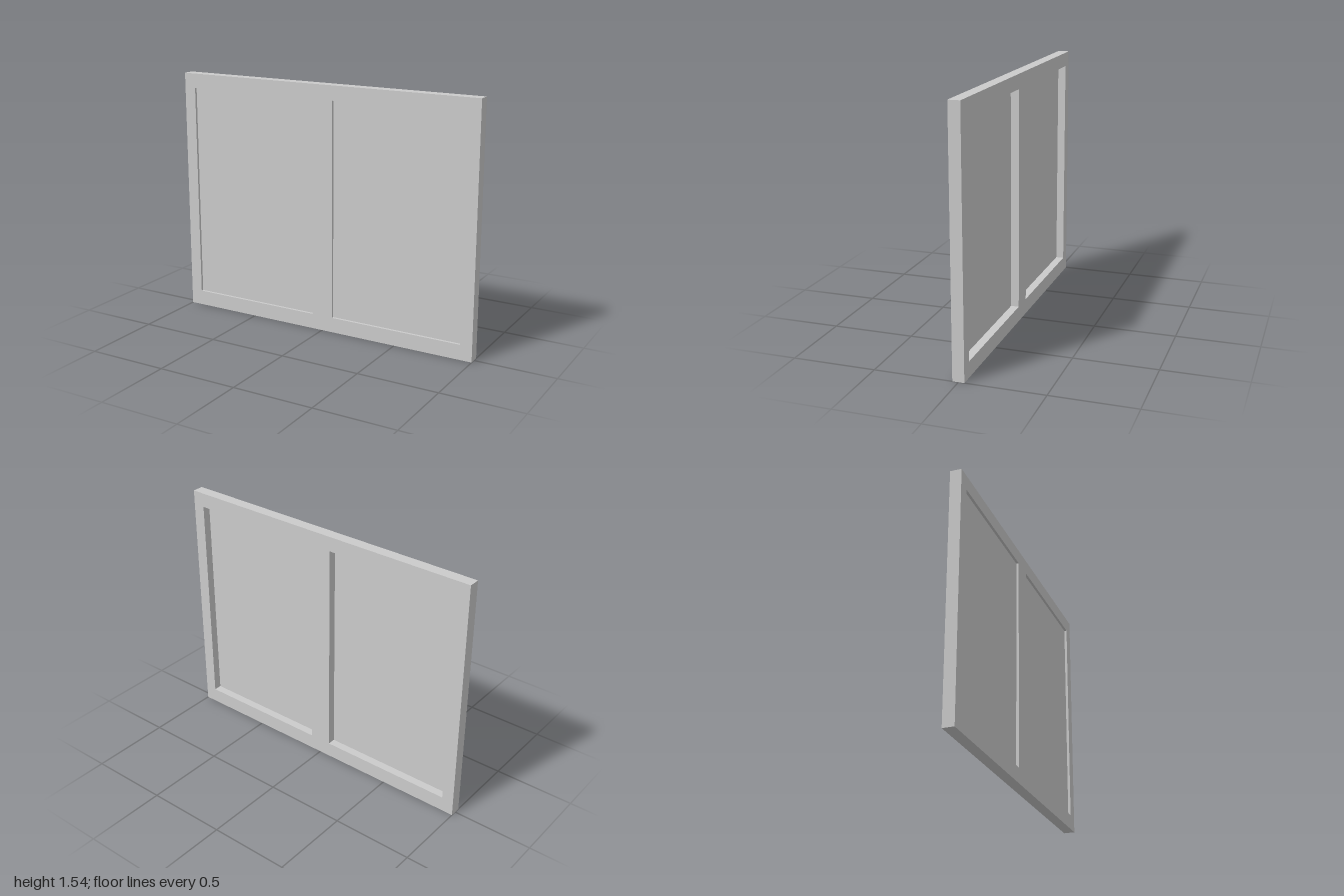
import * as THREE from 'three';

const WIDTH = 2, HEIGHT = 1.54, DEPTH = 0.07;
const OPEN = { inner: 0.07, outer: 0.925, bottom: 0.095, top: 1.45 };

// Closed rectangle traced on a Shape or Path
function rect(path, x0, y0, x1, y1) {
  path.moveTo(x0, y0);
  path.lineTo(x1, y0);
  path.lineTo(x1, y1);
  path.lineTo(x0, y1);
  path.closePath();
  return path;
}

export function createModel() {
  const group = new THREE.Group();
  group.name = 'doublePaneWindow';
  const material = new THREE.MeshStandardMaterial({ color: 0xcccccc });

  // Frame: one slab with two openings either side of the central mullion
  const outline = rect(new THREE.Shape(), -WIDTH / 2, 0, WIDTH / 2, HEIGHT);
  const { inner, outer, bottom, top } = OPEN;
  outline.holes.push(
    rect(new THREE.Path(), -outer, bottom, -inner, top),
    rect(new THREE.Path(), inner, bottom, outer, top)
  );
  const frameGeometry = new THREE.ExtrudeGeometry(outline, { depth: DEPTH, bevelEnabled: false });
  frameGeometry.translate(0, 0, -DEPTH / 2);
  const frame = new THREE.Mesh(frameGeometry, material);
  frame.name = 'frame';
  group.add(frame);

  // Thin panes, set shallow from the front and deep from the back
  const paneGeometry = new THREE.BoxGeometry(outer - inner, top - bottom, 0.004);
  for (const [name, side] of [['leftPane', 1], ['rightPane', -1]]) {
    const pane = new THREE.Mesh(paneGeometry, material);
    pane.name = name;
    pane.position.set(side * (inner + outer) / 2, (bottom + top) / 2, 0.017);
    group.add(pane);
  }

  return group;
}
